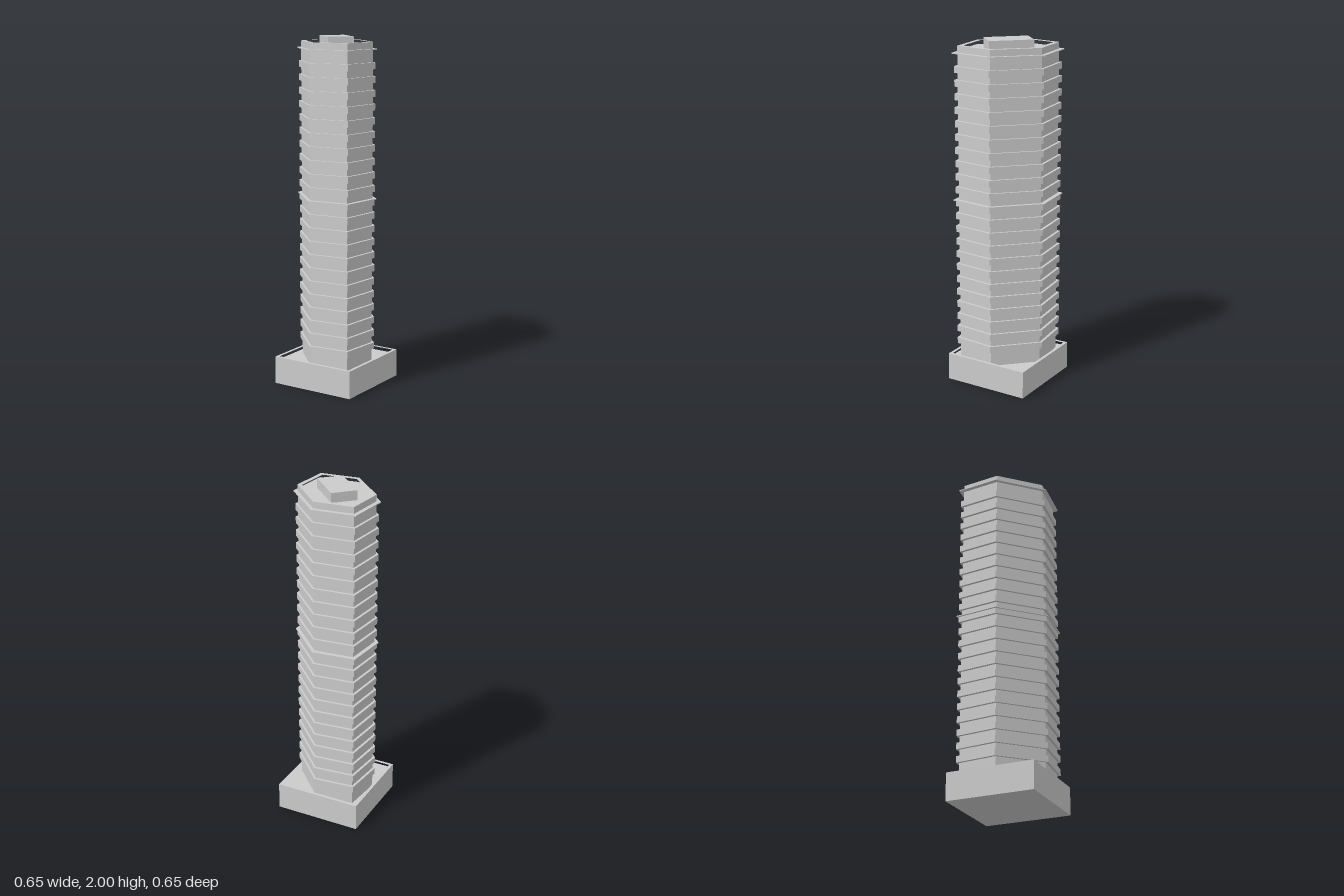
import * as THREE from 'three';

const material = new THREE.MeshStandardMaterial({ color: 0xcccccc, flatShading: true });

// Plans are lists of [x, z] corners
const scaled = (plan, s) => plan.map(([x, z]) => [x * s, z * s]);
const withOpposite = (half) => [...half, ...half.map(([x, z]) => [-x, -z])];
const toPoints = (plan) => plan.map(([x, z]) => new THREE.Vector2(x, -z));

// Upright prism over a plan, from y0 to y1, with an optional hole
function prism(name, plan, y0, y1, hole) {
  const shape = new THREE.Shape(toPoints(plan));
  if (hole) shape.holes.push(new THREE.Path(toPoints(hole)));
  const geometry = new THREE.ExtrudeGeometry(shape, { depth: y1 - y0, bevelEnabled: false });
  geometry.rotateX(-Math.PI / 2).translate(0, y0, 0);
  const mesh = new THREE.Mesh(geometry, material);
  mesh.name = name;
  return mesh;
}

export function createModel() {
  const model = new THREE.Group();
  model.name = 'tower';

  const square = withOpposite([[-0.327, -0.154], [0.152, -0.327]]);
  const hexagon = withOpposite([[-0.099, -0.205], [0.121, -0.261], [0.221, -0.056]]);

  // Podium: sunken deck inside a low parapet
  const deckY = 0.135, podiumTop = 0.16;
  model.add(prism('podium', square, 0, deckY));
  model.add(prism('podiumParapet', square, deckY, podiumTop, scaled(square, 0.93)));

  // Shaft with a roof parapet
  const roofY = 1.945, towerTop = 1.97;
  model.add(prism('shaft', hexagon, deckY, roofY));
  model.add(prism('roofParapet', hexagon, roofY, towerTop, scaled(hexagon, 0.884)));

  // Projecting floor bands
  const bands = new THREE.Group();
  bands.name = 'floorBands';
  for (let i = 0; i < 22; i++) {
    const y = 0.24 + i * 0.0762;
    bands.add(prism('floorBand', scaled(hexagon, 1.065), y - 0.0185, y + 0.0185));
  }
  model.add(bands);

  // Two thin wide ledges
  for (const y of [1.095, 1.93]) {
    model.add(prism('ledge', scaled(hexagon, 1.108), y - 0.003, y + 0.003));
  }

  // Rooftop plant room, with a small doorway recess on one long side
  const a = [-0.013, -0.147], b = [0.119, -0.085], c = [0.011, 0.145], d = [-0.12, 0.083];
  const at = (t, inward) => [
    a[0] + (d[0] - a[0]) * t + (b[0] - a[0]) * inward,
    a[1] + (d[1] - a[1]) * t + (b[1] - a[1]) * inward,
  ];
  const notched = [a, b, c, d, at(0.8, 0), at(0.8, 0.2), at(0.64, 0.2), at(0.64, 0)];
  model.add(prism('plantRoomBase', notched, roofY, 1.977));
  model.add(prism('plantRoomTop', [a, b, c, d], 1.977, 2));

  return model;
}
